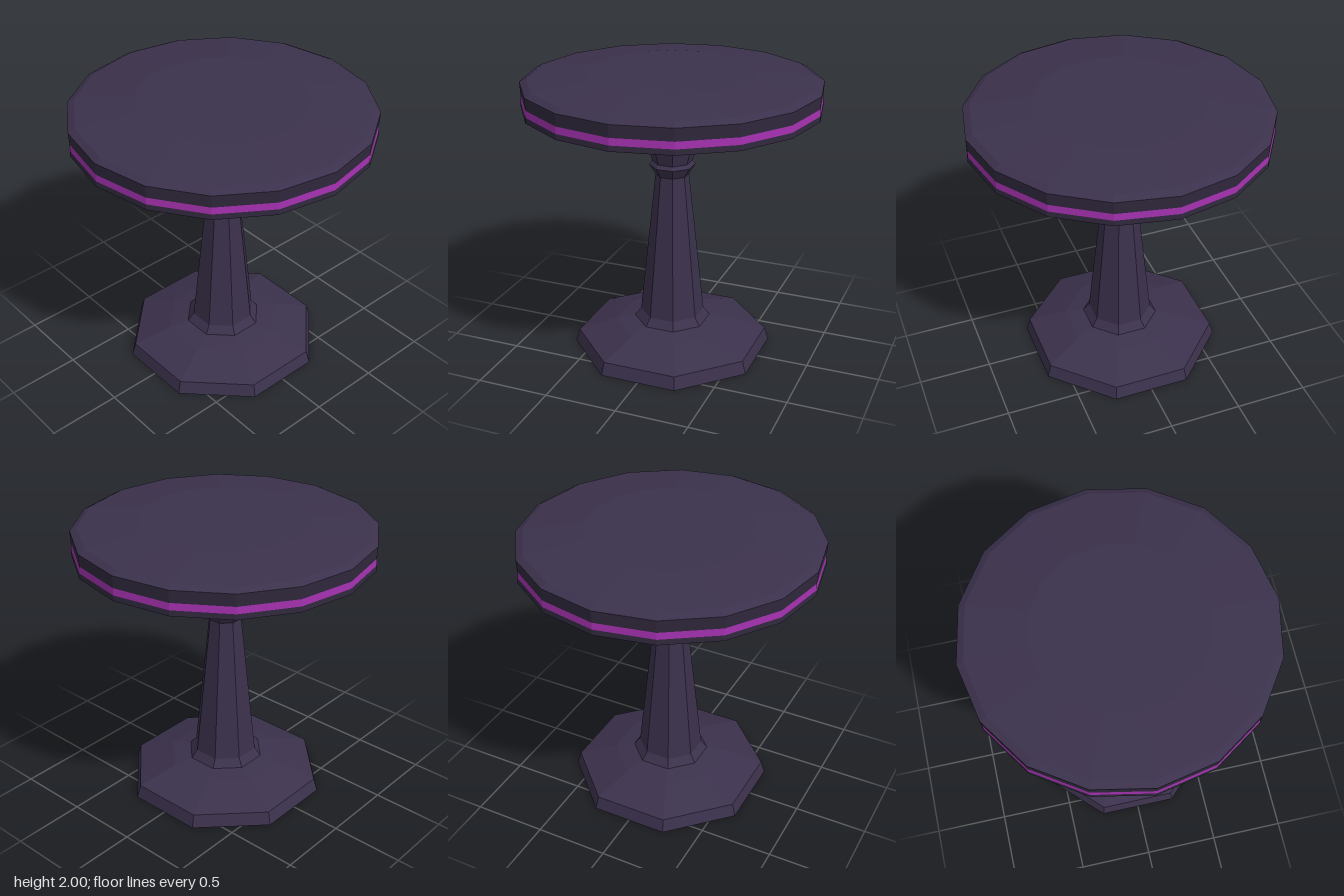
import * as THREE from 'three';

const wood = new THREE.MeshStandardMaterial({ color: 0x3b314c });
wood.name = 'dark violet wood';
const edge = new THREE.MeshStandardMaterial({ color: 0x30283d });
edge.name = 'darker rim wood';
const glow = new THREE.MeshStandardMaterial({ color: 0xa531b0 });
glow.name = 'purple band';

// Faceted turned part; profile is [radius, y] from bottom to top
function turned(name, profile, sides, material, start = 0, scale = 1) {
  const points = profile.map(([r, y]) => new THREE.Vector2(r * scale, y));
  const geometry = new THREE.LatheGeometry(points, sides, start).toNonIndexed();
  geometry.computeVertexNormals();
  const mesh = new THREE.Mesh(geometry, material);
  mesh.name = name;
  return mesh;
}

// Octagonal part with flats facing the axes; radii are measured to the flats
function octagonal(name, profile) {
  return turned(name, profile, 8, wood, Math.PI / 8, 1 / Math.cos(Math.PI / 8));
}

export function createModel() {
  const table = new THREE.Group();
  table.name = 'pedestalTable';

  // Pedestal: foot, tapering column, collar and flared capital
  table.add(
    octagonal('foot', [[0, 0], [0.64, 0], [0.615, 0.09], [0.37, 0.18], [0.245, 0.205], [0.205, 0.26]]),
    octagonal('column', [[0.205, 0.26], [0.105, 1.28]]),
    octagonal('collar', [[0.105, 1.28], [0.145, 1.35], [0.125, 1.375]]),
    octagonal('capital', [[0.125, 1.375], [0.168, 1.54], [0.187, 1.7]]),
  );

  // Sixteen-sided top: shallow cone below, banded rim, bevelled upper face
  table.add(
    turned('topUnderside', [[0, 1.7], [0.19, 1.7], [0.57, 1.76], [1, 1.76]], 16, wood),
    turned('lowerRim', [[1, 1.76], [0.998, 1.797]], 16, edge),
    turned('rimBand', [[0.998, 1.797], [0.996, 1.843]], 16, glow),
    turned('upperRim', [[0.996, 1.843], [1, 1.925]], 16, edge),
    turned('topSurface', [[1, 1.925], [0.955, 1.948], [0.56, 1.993], [0, 1.995]], 16, wood),
  );
  return table;
}
